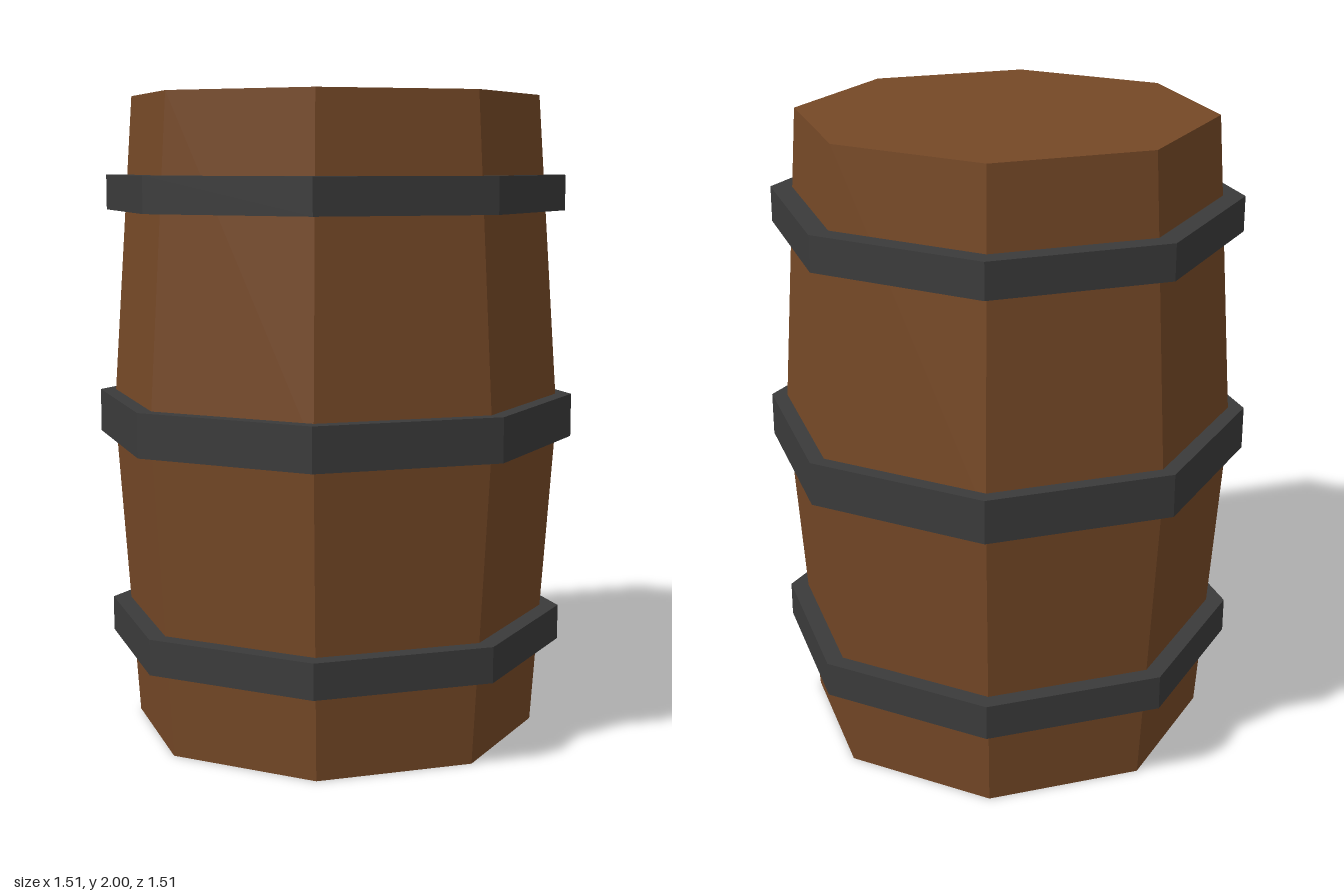
import * as THREE from 'three';

const SIDES = 8;

// Eight-sided turned part from [radius, height] pairs, listed bottom to top
function turned(name, profile, material) {
  const points = profile.map(([r, y]) => new THREE.Vector2(r, y));
  const mesh = new THREE.Mesh(new THREE.LatheGeometry(points, SIDES), material);
  mesh.name = name;
  return mesh;
}

// Flat metal band of rectangular section, sunk slightly into the staves
function hoop(name, y, radius, height, material) {
  const inner = 0.62, h = height / 2;
  const band = turned(name, [[inner, -h], [radius, -h], [radius, h], [inner, h], [inner, -h]], material);
  band.position.y = y;
  return band;
}

export function createModel() {
  const barrel = new THREE.Group();
  barrel.name = 'barrel';

  const wood = new THREE.MeshStandardMaterial({ color: 0x754826, flatShading: true });
  const iron = new THREE.MeshStandardMaterial({ color: 0x3b3b3b, flatShading: true });

  // Bulging wooden body with closed ends
  barrel.add(turned('body', [[0, 0], [0.64, 0], [0.71, 1], [0.64, 2], [0, 2]], wood));

  // Three hoops, the middle one wider and taller
  barrel.add(hoop('lowerHoop', 0.325, 0.725, 0.11, iron));
  barrel.add(hoop('middleHoop', 1, 0.755, 0.135, iron));
  barrel.add(hoop('upperHoop', 1.7, 0.725, 0.11, iron));

  return barrel;
}
